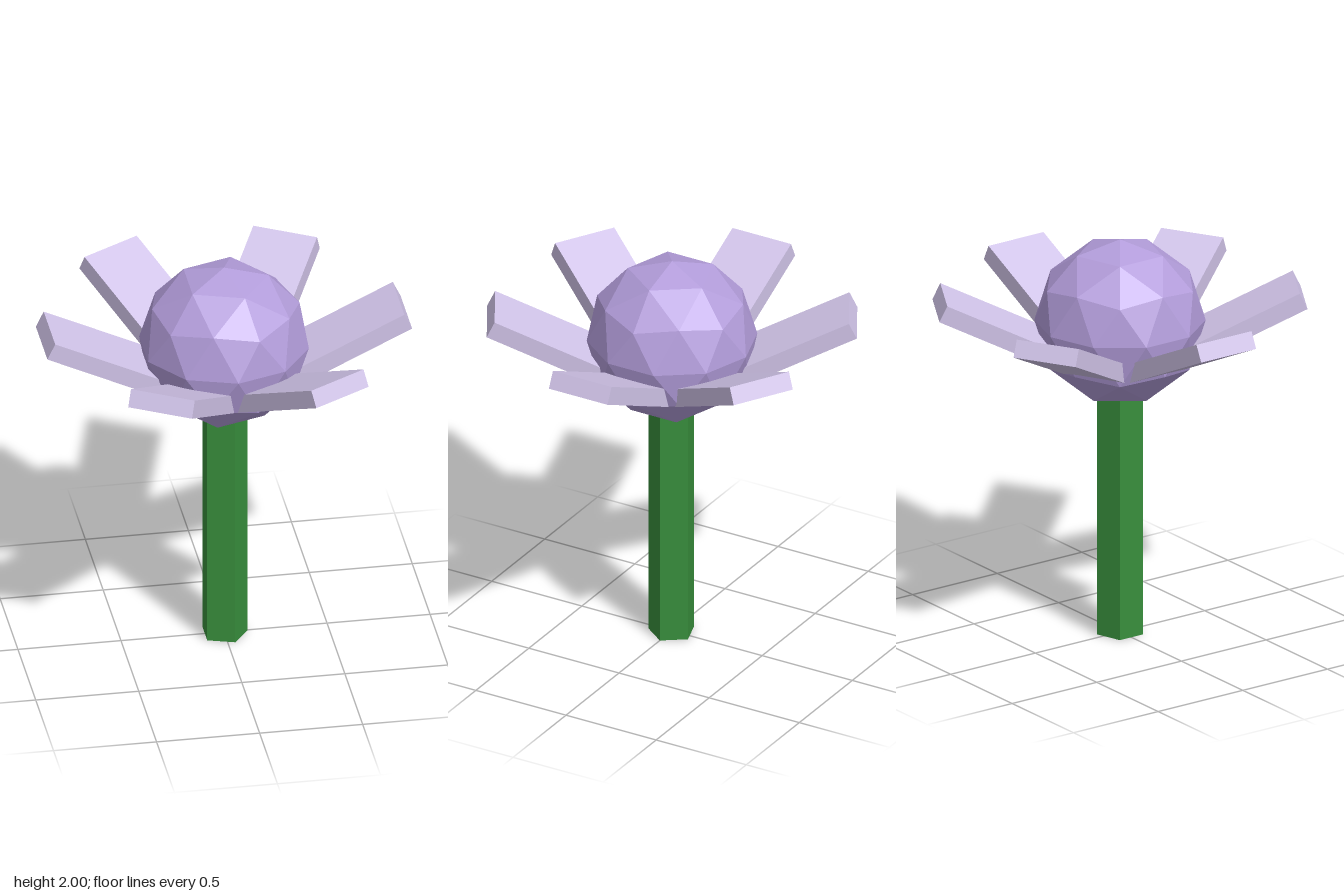
import * as THREE from 'three';

const material = (color) => new THREE.MeshStandardMaterial({ color, flatShading: true });

function part(name, geometry, mat) {
  const mesh = new THREE.Mesh(geometry, mat);
  mesh.name = name;
  return mesh;
}

export function createModel() {
  const model = new THREE.Group();
  model.name = 'flower';

  // Five-sided stem, one corner towards +x, top buried in the bloom
  const stemHeight = 1.22;
  const stemGeometry = new THREE.CylinderGeometry(0.115, 0.115, stemHeight, 5, 1, false, Math.PI / 2);
  stemGeometry.translate(0, stemHeight / 2, 0);
  model.add(part('stem', stemGeometry, material(0x388e3c)));

  // Faceted bloom centre, turned so that a five-way corner points up
  const radius = 0.41;
  const centreGeometry = new THREE.IcosahedronGeometry(radius, 1);
  centreGeometry.rotateZ(-Math.atan(2 / (1 + Math.sqrt(5))));
  centreGeometry.translate(0, 2 - radius, 0);
  model.add(part('bloomCentre', centreGeometry, material(0xb39ddb)));

  // Six slab petals, tilted upwards; the slab ends at its outer tip
  const length = 0.75;
  const petalGeometry = new THREE.BoxGeometry(length, 0.088, 0.325);
  petalGeometry.translate(-length / 2, 0, 0);
  petalGeometry.rotateZ(THREE.MathUtils.degToRad(25.5));
  petalGeometry.translate(0.866, 1.71, 0);
  const petalMaterial = material(0xd1c4e9);
  const petals = new THREE.Group();
  petals.name = 'petals';
  for (let i = 0; i < 6; i++) {
    const petal = part('petal', petalGeometry, petalMaterial);
    petal.rotation.y = (i * Math.PI) / 3;
    petals.add(petal);
  }
  model.add(petals);

  return model;
}
